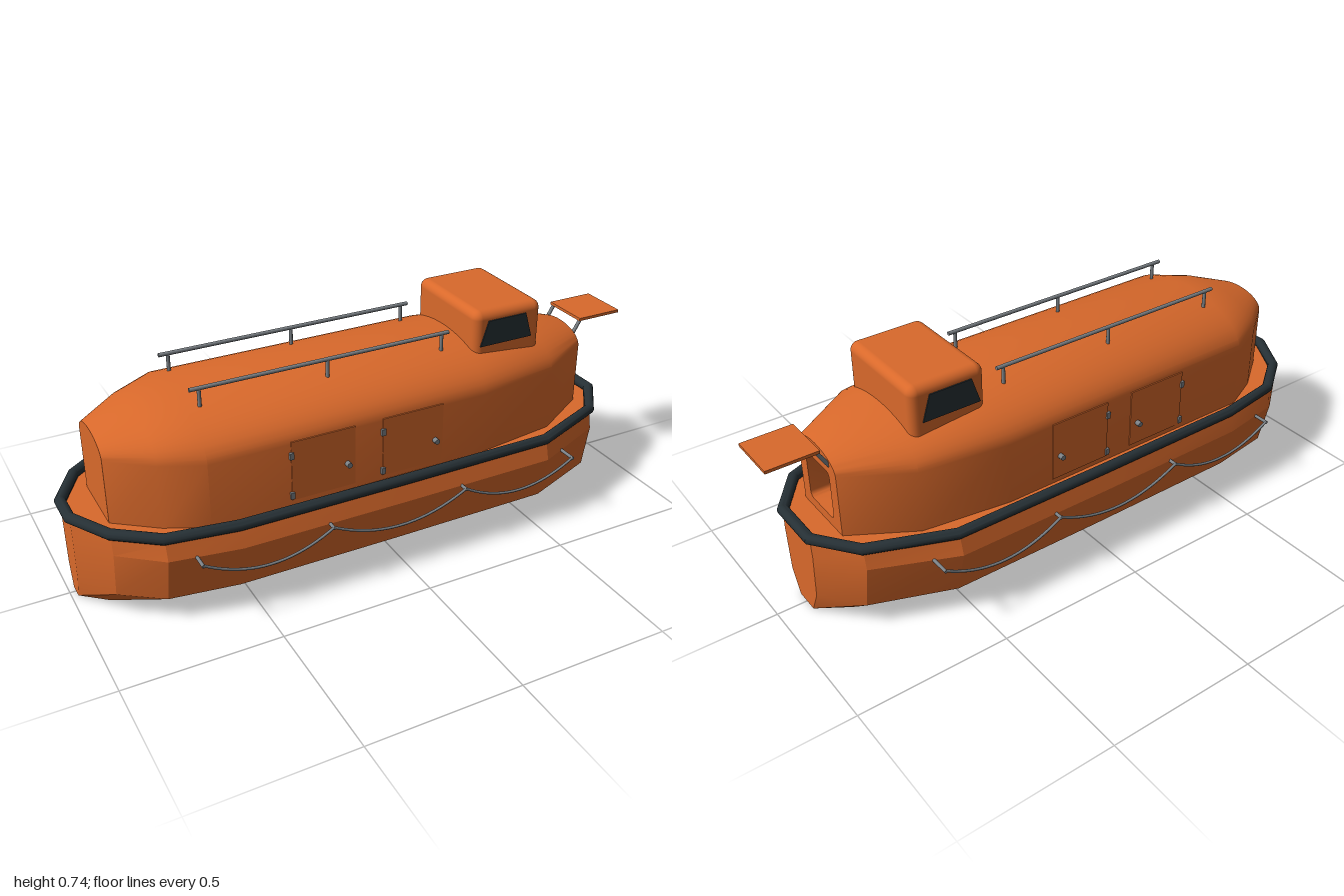
import * as THREE from 'three';
import { toCreasedNormals } from 'three/addons/utils/BufferGeometryUtils.js';
import { RoundedBoxGeometry } from 'three/addons/geometries/RoundedBoxGeometry.js';

const paint = (color, side = THREE.FrontSide) => new THREE.MeshStandardMaterial({ color, side });
const orange = paint(0xd9692b);
const orangeInner = paint(0xd9692b, THREE.DoubleSide);
const dark = paint(0x263035);
const steel = paint(0x7b8186);

// Skin a row of equal-length rings; optional fan caps, or joined end to end
function loft(rings, { closed = false, start = true, end = true, crease = 0.45 } = {}) {
  const n = rings[0].length, m = rings.length, index = [];
  for (let i = 0; i < (closed ? m : m - 1); i++) {
    for (let j = 0; j < n; j++) {
      const k = (j + 1) % n, r = ((i + 1) % m) * n;
      index.push(i * n + j, i * n + k, r + j, i * n + k, r + k, r + j);
    }
  }
  for (let j = 1; j < n - 1 && !closed; j++) {
    const e = (m - 1) * n;
    if (start) index.push(0, j + 1, j);
    if (end) index.push(e, e + j, e + j + 1);
  }
  const g = new THREE.BufferGeometry();
  g.setAttribute('position', new THREE.Float32BufferAttribute(rings.flat(2), 3));
  g.setIndex(index);
  return toCreasedNormals(g, crease);
}

function add(parent, name, geometry, material, x = 0, y = 0, z = 0) {
  const mesh = new THREE.Mesh(geometry, material);
  mesh.name = name;
  mesh.position.set(x, y, z);
  parent.add(mesh);
  return mesh;
}

// Straight round bar between two points
function bar(parent, name, a, b, r, material = steel) {
  const p = new THREE.Vector3(...a), q = new THREE.Vector3(...b);
  const mesh = add(parent, name, new THREE.CylinderGeometry(r, r, p.distanceTo(q), 10), material);
  mesh.position.copy(p).lerp(q, 0.5);
  mesh.quaternion.setFromUnitVectors(new THREE.Vector3(0, 1, 0), q.sub(p).normalize());
}

// Stations along the hull: x and half width
const stations = [[-0.98, 0.055], [-0.9, 0.205], [-0.77, 0.31], [-0.55, 0.347],
  [0, 0.35], [0.54, 0.347], [0.8, 0.235], [0.9, 0.092]];

function hullGeometry() {
  const half = [[0.46, 0], [0.886, 0.08], [1, 0.235], [0.957, 0.29]]; // width factor, height
  return loft(stations.map(([x, w]) => [
    ...half.map(([f, y]) => [x, y, -f * w]),
    ...half.slice().reverse().map(([f, y]) => [x, y, f * w]),
  ]), { crease: 0.3 });
}

// Mitred rubber tube around the gunwale
function fenderGeometry() {
  const side = stations.map(([x, w]) => [x, w * 0.93]);
  const path = [...side.map(([x, w]) => [x, -w]), ...side.slice().reverse()];
  const count = path.length, sides = 12, r = 0.0175;
  const rings = path.map((p, i) => {
    const dir = (a, b) => new THREE.Vector2(b[0] - a[0], b[1] - a[1]).normalize();
    const t0 = dir(path[(i + count - 1) % count], p), t1 = dir(p, path[(i + 1) % count]);
    const t = t0.clone().add(t1).normalize(), s = r / t.dot(t1);
    return Array.from({ length: sides }, (_, k) => {
      const a = k / sides * Math.PI * 2, c = Math.cos(a) * s;
      return [p[0] + t.y * c, 0.302 + Math.sin(a) * r, p[1] - t.x * c];
    });
  });
  return loft(rings, { closed: true, crease: 0.6 });
}

// Cabin cross-section: upright walls under a half-elliptic roof
function cabinRing(x, w, top) {
  const ring = [[x, 0.28, -w]], steps = 24, spring = 0.5;
  for (let i = 0; i <= steps; i++) {
    const a = i / steps * Math.PI;
    ring.push([x, spring + (top - spring) * Math.sin(a), -w * Math.cos(a)]);
  }
  ring.push([x, 0.28, w]);
  return ring;
}

// Rounded doorway outline in z and y
function doorway() {
  const w = 0.073, y0 = 0.322, y1 = 0.49, r = 0.018;
  const pts = [];
  [[-w + r, y0 + r, 1], [-w + r, y1 - r, 0.5], [w - r, y1 - r, 0], [w - r, y0 + r, -0.5]].forEach(([z, y, q]) => {
    for (let i = 0; i <= 4; i++) {
      const a = (q + 0.5 - i / 8) * Math.PI;
      pts.push([z + r * Math.cos(a), y + r * Math.sin(a)]);
    }
  });
  return pts;
}

function addCabin(g) {
  const rings = [[-0.88, 0.115, 0.553], [-0.75, 0.215, 0.598], [-0.62, 0.277, 0.63],
    [0.32, 0.277, 0.63], [0.61, 0.237, 0.61], [0.81, 0.117, 0.555]].map(s => cabinRing(...s));
  add(g, 'cabin', loft(rings, { end: false }), orange);

  // End wall with an open doorway and its recess
  const door = doorway();
  const wall = new THREE.Shape(rings[5].map(([, y, z]) => new THREE.Vector2(z, y)));
  wall.holes.push(new THREE.Path(door.map(([z, y]) => new THREE.Vector2(z, y))));
  add(g, 'cabinEndWall', new THREE.ShapeGeometry(wall).rotateY(Math.PI / 2), orangeInner, 0.81);
  const recess = [0.71, 0.81].map(x => door.map(([z, y]) => [x, y, z]));
  add(g, 'doorRecess', loft(recess, { end: false }), orangeInner);
}

function addWheelhouse(g) {
  add(g, 'wheelhouse', new RoundedBoxGeometry(0.255, 0.235, 0.36, 4, 0.028), orange, 0.463, 0.6185, 0);
  const pane = new THREE.Shape([[0.357, 0.619], [0.553, 0.619], [0.527, 0.704], [0.385, 0.704]]
    .map(p => new THREE.Vector2(...p)));
  for (const s of [-1, 1]) {
    const geo = new THREE.ExtrudeGeometry(pane, { depth: 0.008, bevelEnabled: false });
    add(g, 'wheelhouseWindow', geo, dark, 0, 0, s > 0 ? 0.176 : -0.184);
  }
}

function addSide(g, s) {
  // Two side doors with hinges and a round handle
  for (const x of [-0.36, -0.05]) {
    add(g, 'sideDoor', new THREE.BoxGeometry(0.214, 0.2, 0.012), orange, x + 0.107, 0.407, s * 0.274);
    for (const y of [0.325, 0.462])
      add(g, 'hinge', new THREE.BoxGeometry(0.013, 0.022, 0.012), steel, x, y, s * 0.28);
    bar(g, 'doorHandle', [x + 0.186, 0.386, s * 0.275], [x + 0.186, 0.386, s * 0.298], 0.009);
  }

  // Roof grab rail
  bar(g, 'roofRail', [-0.61, 0.672, s * 0.132], [0.265, 0.672, s * 0.132], 0.0065);
  for (const x of [-0.58, -0.165, 0.24])
    bar(g, 'railPost', [x, 0.6, s * 0.132], [x, 0.672, s * 0.132], 0.006);

  // Lifeline looped between pegs
  const pegs = [-0.687, -0.268, 0.202, 0.62];
  for (const x of pegs) bar(g, 'lifelinePeg', [x, 0.234, s * 0.308], [x, 0.234, s * 0.376], 0.0055);
  for (let i = 0; i < 3; i++) {
    const a = pegs[i], b = pegs[i + 1];
    const curve = new THREE.QuadraticBezierCurve3(new THREE.Vector3(a, 0.236, s * 0.373),
      new THREE.Vector3((a + b) / 2, 0.108, s * 0.373), new THREE.Vector3(b, 0.236, s * 0.373));
    add(g, 'lifeline', new THREE.TubeGeometry(curve, 20, 0.0045, 8), steel);
  }

  // Strut under the door awning
  bar(g, 'awningStrut', [0.805, 0.515, s * 0.075], [0.842, 0.577, s * 0.075], 0.0065);
}

export function createModel() {
  const g = new THREE.Group();
  g.name = 'enclosedLifeboat';
  add(g, 'hull', hullGeometry(), orange);
  add(g, 'fender', fenderGeometry(), dark);
  addCabin(g);
  addWheelhouse(g);
  for (const s of [-1, 1]) addSide(g, s);
  add(g, 'doorAwning', new THREE.BoxGeometry(0.168, 0.01, 0.168), orange, 0.916, 0.579, 0);
  return g;
}
